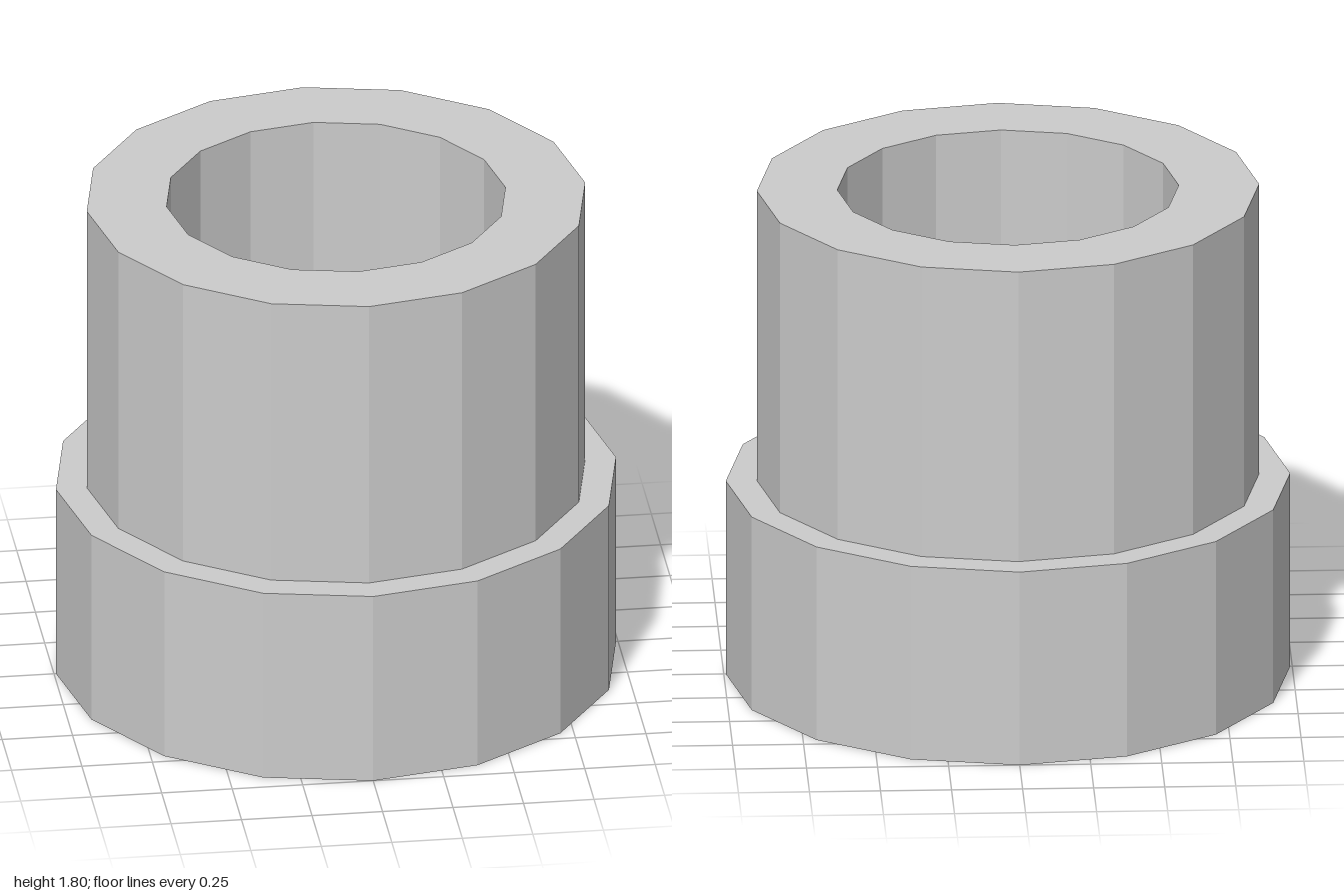
import * as THREE from 'three';

const SIDES = 16;
const OUTER = 1, SLEEVE = 0.89, BORE = 0.605, SOCKET = 0.675;
const HEIGHT = 1.8, COLLAR_TOP = 0.72, LEDGE = 0.33;

const material = new THREE.MeshStandardMaterial({ color: 0xcccccc, flatShading: true });

// Faceted ring turned from a [radius, height] profile
function turned(name, profile) {
  const points = profile.map(([r, y]) => new THREE.Vector2(r, y));
  const geometry = new THREE.LatheGeometry(points, SIDES).toNonIndexed();
  geometry.scale(0.993, 1, 1);
  geometry.computeVertexNormals();
  const mesh = new THREE.Mesh(geometry, material);
  mesh.name = name;
  return mesh;
}

export function createModel() {
  const group = new THREE.Group();
  group.name = 'steppedBushing';

  // Wide lower collar with a counterbored socket underneath
  group.add(turned('collar', [
    [BORE, LEDGE], [SOCKET, LEDGE], [SOCKET, 0],
    [OUTER, 0], [OUTER, COLLAR_TOP], [SLEEVE, COLLAR_TOP],
  ]));

  // Narrower upper sleeve with the through bore
  group.add(turned('sleeve', [
    [SLEEVE, COLLAR_TOP], [SLEEVE, HEIGHT], [BORE, HEIGHT], [BORE, LEDGE],
  ]));

  return group;
}
